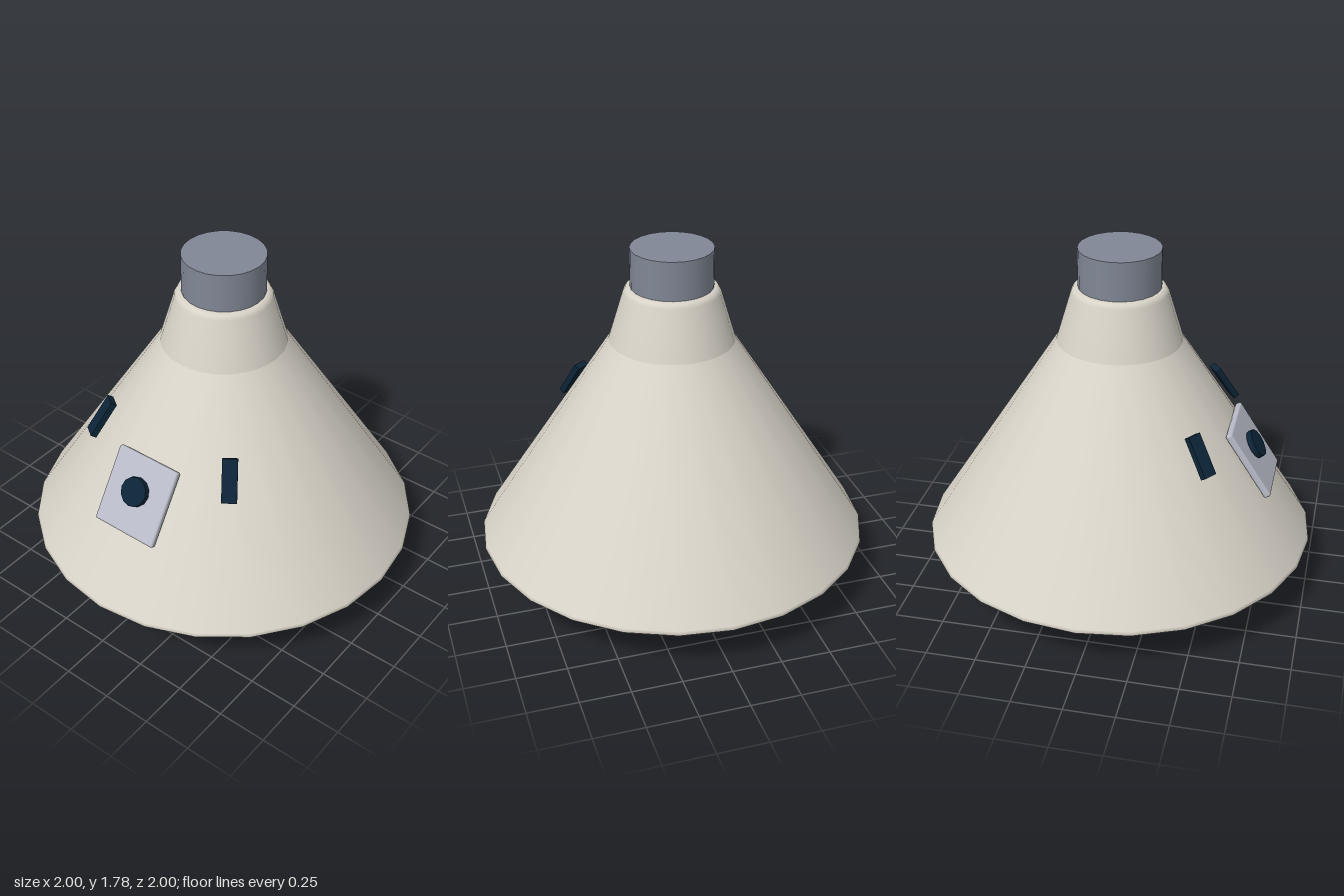
import * as THREE from 'three';
import { RoundedBoxGeometry } from 'three/addons/geometries/RoundedBoxGeometry.js';

const SIDES = 24;
const SLOPE = 0.577; // lean of the cone wall from vertical

function material(name, color) {
  const m = new THREE.MeshStandardMaterial({ color });
  m.name = name;
  return m;
}

export function createModel() {
  const capsule = new THREE.Group();
  capsule.name = 'spaceCapsule';

  const hullPaint = material('warm white hull', 0xd9d4c9);
  const shieldPaint = material('dark heat shield', 0x2a2b35);
  const collarPaint = material('grey metal', 0x808795);
  const hatchPaint = material('pale grey hatch', 0xb9bcc8);
  const glass = material('dark blue glass', 0x0c2437);

  function add(parent, name, geometry, mat) {
    const mesh = new THREE.Mesh(geometry, mat);
    mesh.name = name;
    parent.add(mesh);
    return mesh;
  }

  // Repeating a profile point makes a sharp edge there
  const lathe = (profile) =>
    new THREE.LatheGeometry(profile.map(([r, y]) => new THREE.Vector2(r, y)), SIDES);

  // Mount for parts lying on the cone wall, facing outwards at a heading
  function wallMount(name, heading, x, y, z) {
    const mount = new THREE.Group();
    mount.name = name;
    mount.position.set(x, y, z);
    mount.rotation.set(-SLOPE, heading, 0, 'YXZ');
    capsule.add(mount);
    return mount;
  }

  // Hull: underside rim, cone, steeper neck and rounded shoulder
  add(capsule, 'hull', lathe([
    [0.92, 0.18], [0.988, 0.236], [1, 0.247], [0.992, 0.262],
    [0.992, 0.262], [0.315, 1.31], [0.315, 1.31],
    [0.24, 1.56], [0.228, 1.58], [0.21, 1.588], [0.15, 1.588],
  ]), hullPaint);

  // Shallow dished heat shield
  add(capsule, 'heatShield', lathe([
    [0, 0], [0.48, 0.04], [0.81, 0.115], [0.92, 0.18],
  ]), shieldPaint);

  // Docking collar on top
  const collar = add(capsule, 'dockingCollar',
    new THREE.CylinderGeometry(0.205, 0.205, 0.24, SIDES), collarPaint);
  collar.position.y = 1.665;

  // Hatch with a round porthole
  const hatch = wallMount('hatch', 0, 0, 0.753, 0.685);
  add(hatch, 'hatchDoor', new RoundedBoxGeometry(0.36, 0.39, 0.036, 2, 0.012), hatchPaint);
  const porthole = add(hatch, 'porthole',
    new THREE.CylinderGeometry(0.073, 0.073, 0.035, 12), glass);
  porthole.rotation.x = Math.PI / 2;
  porthole.position.set(0, 0.021, 0.03);

  // Narrow windows either side of the hatch
  for (const side of [1, -1]) {
    const mount = wallMount(side > 0 ? 'leftWindow' : 'rightWindow',
      side * 0.61, side * 0.402, 0.918, 0.478);
    add(mount, 'windowPane', new THREE.BoxGeometry(0.075, 0.212, 0.032), glass);
  }

  return capsule;
}
